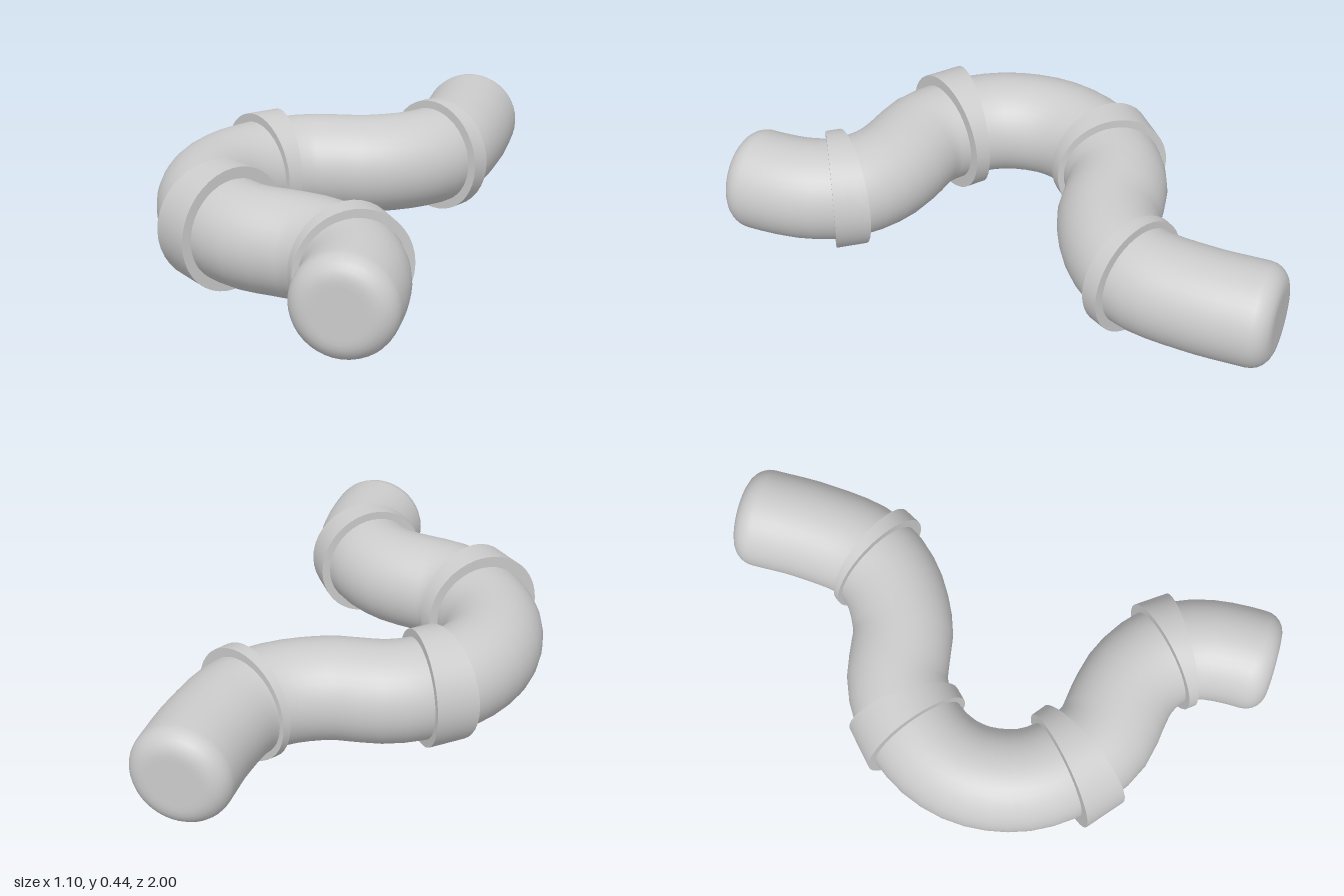
import * as THREE from 'three';

const AXIS_Y = 0.222;
const RADIUS = 0.179;
const SIDES = 40;

// Skin elliptical cross-sections {x, z, sx, sz, v}: centre, sideways half-axis and vertical half-axis.
function loft(sections) {
  const pos = [];
  const index = [];
  const addRing = (s) => {
    const start = pos.length / 3;
    for (let j = 0; j < SIDES; j++) {
      const a = (j / SIDES) * Math.PI * 2;
      const c = Math.cos(a);
      pos.push(s.x + s.sx * c, AXIS_Y + s.v * Math.sin(a), s.z + s.sz * c);
    }
    return start;
  };
  const starts = sections.map(addRing);
  for (let i = 0; i < starts.length - 1; i++) {
    for (let j = 0; j < SIDES; j++) {
      const k = (j + 1) % SIDES;
      const a = starts[i] + j, b = starts[i] + k;
      const c = starts[i + 1] + k, d = starts[i + 1] + j;
      index.push(a, b, c, a, c, d);
    }
  }
  // flat end caps with their own vertices, so the rim stays sharp
  [sections[0], sections[sections.length - 1]].forEach((s, end) => {
    const start = addRing(s);
    const centre = pos.length / 3;
    pos.push(s.x, AXIS_Y, s.z);
    for (let j = 0; j < SIDES; j++) {
      const a = start + j, b = start + ((j + 1) % SIDES);
      if (end) index.push(centre, a, b);
      else index.push(centre, b, a);
    }
  });
  const geo = new THREE.BufferGeometry();
  geo.setAttribute('position', new THREE.Float32BufferAttribute(pos, 3));
  geo.setIndex(index);
  geo.computeVertexNormals();
  return geo;
}

// Winding pipe with rounded ends
function pipeGeometry() {
  const ROUND = 0.075;
  const path = [
    [0.365, -1 + ROUND], [0.365, -0.73], [0.33, -0.51], [0.235, -0.39], [0.08, -0.305],
    [-0.02, -0.288], [-0.12, -0.265], [-0.24, -0.185], [-0.337, -0.05], [-0.37, 0.09],
    [-0.337, 0.26], [-0.235, 0.4], [-0.117, 0.482], [0.01, 0.505], [0.1, 0.523],
    [0.187, 0.566], [0.26, 0.634], [0.305, 0.74], [0.318, 0.84], [0.318, 1 - ROUND],
  ];
  const curve = new THREE.CatmullRomCurve3(path.map(([x, z]) => new THREE.Vector3(x, 0, z)));
  const body = [];
  const N = 48;
  for (let i = 0; i <= N; i++) {
    const p = curve.getPointAt(i / N);
    const t = curve.getTangentAt(i / N);
    if (i === 0 || i === N) t.set(0, 0, 1);
    body.push({ x: p.x, z: p.z, sx: t.z * RADIUS, sz: -t.x * RADIUS, v: RADIUS });
  }
  // quarter-round rim leading to a flat end
  const endSections = (x, dir) => {
    const list = [];
    for (let i = 1; i <= 6; i++) {
      const a = (i / 6) * Math.PI / 2;
      const r = RADIUS - ROUND * (1 - Math.cos(a));
      list.push({ x, z: dir * (1 - ROUND + ROUND * Math.sin(a)), sx: r, sz: 0, v: r });
    }
    const r = RADIUS - ROUND - 0.02;
    list.push({ x, z: dir, sx: r, sz: 0, v: r });
    return list;
  };
  return loft([...endSections(0.365, -1).reverse(), ...body, ...endSections(0.318, 1)]);
}

// Cross-section spanning two opposite rim points in plan
const span = ([x0, z0, x1, z1], v) => ({
  x: (x0 + x1) / 2, z: (z0 + z1) / 2, sx: (x1 - x0) / 2, sz: (z1 - z0) / 2, v,
});

export function createModel() {
  const group = new THREE.Group();
  group.name = 'windingPipe';
  const material = new THREE.MeshStandardMaterial({ color: 0xcccccc });
  const add = (name, geometry) => {
    const mesh = new THREE.Mesh(geometry, material);
    mesh.name = name;
    group.add(mesh);
  };

  add('pipe', pipeGeometry());

  // Wedge-shaped collars, wide on the outside of each bend
  const collars = [
    ['backCollar', [0.148, -0.587, 0.519, -0.418], [0.132, -0.566, 0.487, -0.36], 0.209],
    ['backBendCollar', [-0.323, -0.381, -0.085, -0.053], [-0.439, -0.275, -0.122, -0.016], 0.209],
    ['frontBendCollar', [-0.434, 0.513, -0.111, 0.222], [-0.312, 0.614, -0.069, 0.254], 0.219],
    ['frontCollar', [0.085, 0.746, 0.386, 0.46], [0.106, 0.772, 0.46, 0.561], 0.209],
  ];
  for (const [name, a, b, v] of collars) add(name, loft([span(a, v), span(b, v)]));

  // stand on the ground
  const box = new THREE.Box3().setFromObject(group);
  for (const mesh of group.children) mesh.position.y -= box.min.y;
  return group;
}
